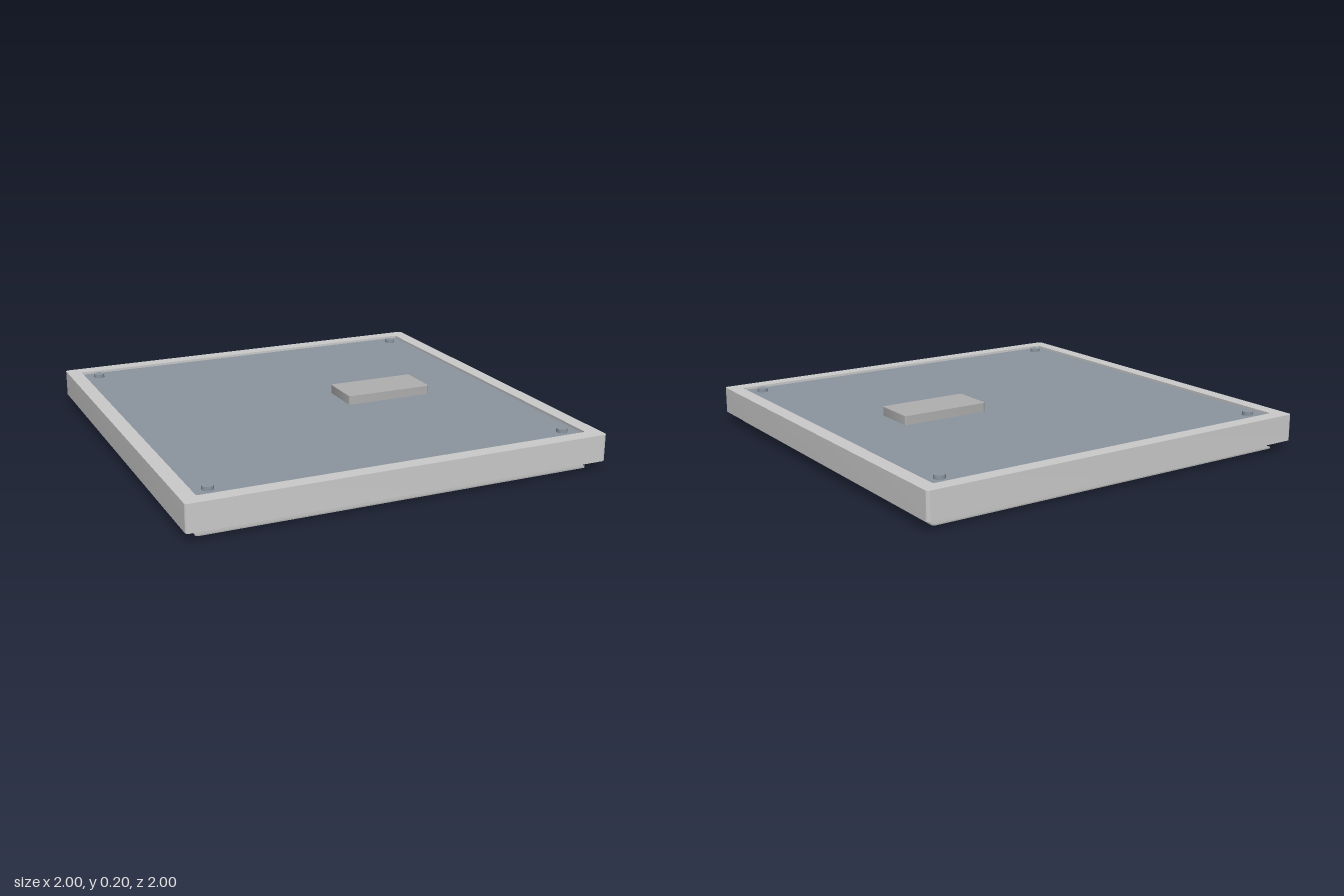
import * as THREE from 'three';
import { toCreasedNormals } from 'three/addons/utils/BufferGeometryUtils.js';

// Rounded rectangle outline centred on the origin
function roundedRect(path, w, d, r) {
  const x = w / 2, y = d / 2;
  path.moveTo(-x + r, -y);
  path.lineTo(x - r, -y);
  path.absarc(x - r, -y + r, r, -Math.PI / 2, 0);
  path.lineTo(x, y - r);
  path.absarc(x - r, y - r, r, 0, Math.PI / 2);
  path.lineTo(-x + r, y);
  path.absarc(-x + r, y - r, r, Math.PI / 2, Math.PI);
  path.lineTo(-x, -y + r);
  path.absarc(-x + r, -y + r, r, Math.PI, Math.PI * 1.5);
  return path;
}

// Flat slab lying between heights y0 and y1, with an optional square opening
function slab(name, color, w, d, r, y0, y1, opening = 0) {
  const shape = roundedRect(new THREE.Shape(), w, d, r);
  if (opening) shape.holes.push(roundedRect(new THREE.Path(), opening, opening, 0.012));
  const flat = new THREE.ExtrudeGeometry(shape, { depth: y1 - y0, bevelEnabled: false, curveSegments: 6 });
  flat.rotateX(-Math.PI / 2);
  const mesh = new THREE.Mesh(toCreasedNormals(flat, 0.6), new THREE.MeshStandardMaterial({ color }));
  mesh.position.y = y0;
  mesh.name = name;
  return mesh;
}

export function createModel() {
  const model = new THREE.Group();
  model.name = 'framedPanel';

  // Outer frame, open underneath
  model.add(slab('frame', 0xc6caca, 2, 2, 0.015, 0.045, 0.172, 1.86));

  // Thin panel set just below the rim of the frame
  const panelColor = 0x8c96a0, panelTop = 0.16;
  model.add(slab('panel', panelColor, 1.86, 1.86, 0.012, 0.152, panelTop));

  // Base plate below the frame, with a gap between them
  model.add(slab('basePlate', 0xb0b0b0, 1.88, 1.88, 0.012, 0, 0.006));

  // Raised block on the panel
  const block = slab('raisedBlock', 0xb0b0b0, 0.44, 0.216, 0.012, panelTop, 0.203);
  block.position.x = 0.358;
  block.position.z = -0.003;
  model.add(block);

  // Round studs in the four corners
  const studGeometry = new THREE.CylinderGeometry(0.026, 0.026, 0.025, 24);
  const studMaterial = new THREE.MeshStandardMaterial({ color: panelColor });
  for (const sx of [-1, 1]) for (const sz of [-1, 1]) {
    const stud = new THREE.Mesh(studGeometry, studMaterial);
    stud.name = 'cornerStud';
    stud.position.set(sx * 0.856, 0.1655, sz * 0.856);
    model.add(stud);
  }
  return model;
}
